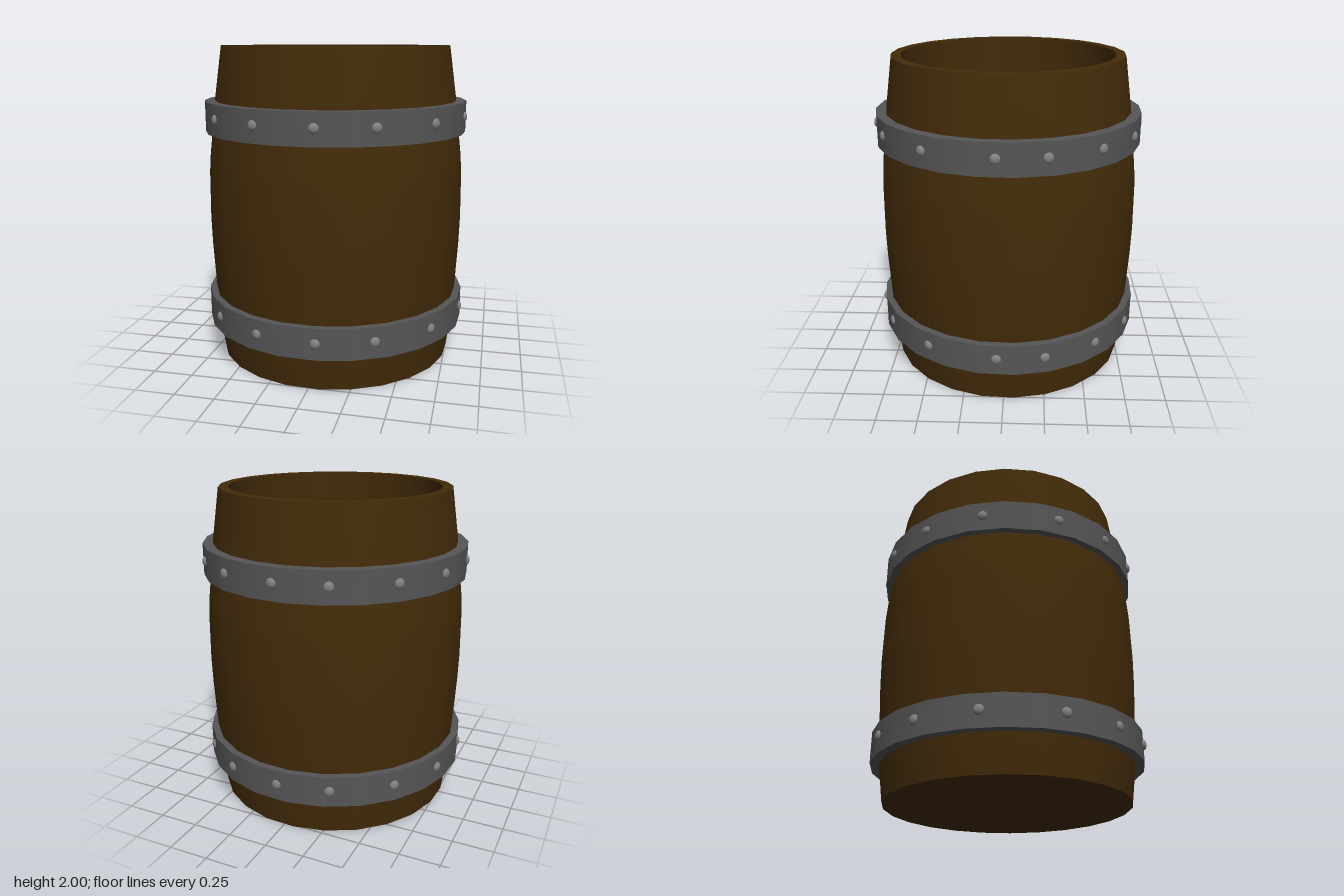
import * as THREE from 'three';
import { mergeGeometries } from 'three/addons/utils/BufferGeometryUtils.js';

const SIDES = 24;
const START = THREE.MathUtils.degToRad(4.4);

const wood = new THREE.MeshStandardMaterial({ color: 0x422b09 });
const iron = new THREE.MeshStandardMaterial({ color: 0x565656 });
const rivetMetal = new THREE.MeshStandardMaterial({ color: 0x808080 });

// Each profile is smooth in itself; edges between profiles stay sharp.
function turned(name, material, profiles) {
  const parts = profiles.map((profile) => new THREE.LatheGeometry(
    profile.map(([r, y]) => new THREE.Vector2(r, y)), SIDES, START));
  const mesh = new THREE.Mesh(mergeGeometries(parts), material);
  mesh.name = name;
  return mesh;
}

function createBand(name, radius, bottom, top, inner) {
  const band = new THREE.Group();
  band.name = name;
  band.add(turned(name + 'Ring', iron, [
    [[radius, bottom], [radius, top]],
    [[radius, top], [inner, top]],
    [[inner, top], [inner, bottom]],
    [[inner, bottom], [radius, bottom]],
  ]));

  // Unevenly hammered rivets, angles in degrees from the front
  const angles = [4.6, 28.5, 56.2, 87, 107, 131.7, 155, 179.6, 202, 229, 253.5, 280.4, 312.8, 338.7];
  const head = new THREE.SphereGeometry(0.031, 12, 8);
  const step = (Math.PI * 2) / SIDES;
  angles.forEach((degrees, i) => {
    const a = THREE.MathUtils.degToRad(degrees);
    // Distance to the faceted band surface at this angle
    const offset = (((a - START) % step) + step) % step - step / 2;
    const r = radius * Math.cos(step / 2) / Math.cos(offset);
    const rivet = new THREE.Mesh(head, rivetMetal);
    rivet.name = name + 'Rivet' + (i + 1);
    rivet.scale.z = 0.6;
    rivet.rotation.y = a;
    rivet.position.set(Math.sin(a) * r, (bottom + top) / 2 + 0.005, Math.cos(a) * r);
    band.add(rivet);
  });
  return band;
}

export function createModel() {
  const barrel = new THREE.Group();
  barrel.name = 'barrel';

  // Bulging staves around a straight bore, open at the top
  const outer = [
    [0.76, 0], [0.79, 0.22], [0.805, 0.45], [0.82, 0.72], [0.825, 0.9],
    [0.821, 1.2], [0.812, 1.32], [0.795, 1.46], [0.773, 1.66], [0.724, 2],
  ];
  const bore = 0.664;
  const floorY = 0.1;

  barrel.add(turned('staves', wood, [
    outer,
    [[0.724, 2], [bore, 2]],
    [[bore, 2], [bore, floorY]],
  ]));
  barrel.add(turned('floor', wood, [[[bore, floorY], [0, floorY]]]));
  barrel.add(turned('base', wood, [[[0, 0], [0.76, 0]]]));

  // Riveted iron bands
  barrel.add(createBand('upperBand', 0.836, 1.465, 1.66, 0.77));
  barrel.add(createBand('lowerBand', 0.846, 0.225, 0.42, 0.785));

  barrel.position.set(-0.004, 0, -0.004);
  const model = new THREE.Group();
  model.name = 'model';
  model.add(barrel);
  return model;
}
